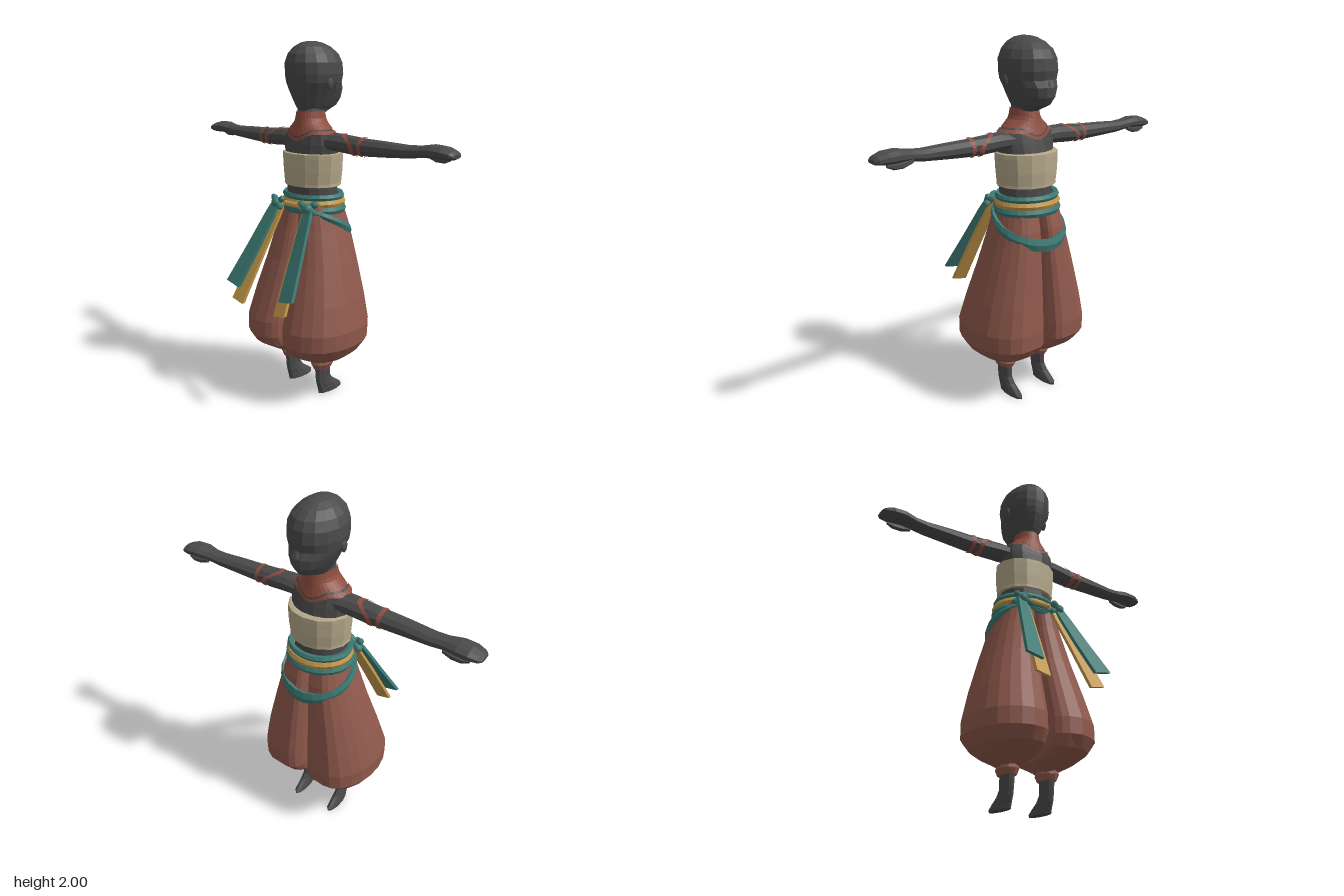
import * as THREE from 'three';

const mat = (name, color) => Object.assign(new THREE.MeshStandardMaterial({ color }), { name });

// Skin a list of rings of [x, y, z] points; faces are turned outward and shaded flat.
function loft(rings, caps = true) {
  const n = rings[0].length, pos = rings.flat(2), idx = [];
  for (let i = 0; i < rings.length - 1; i++) {
    for (let j = 0; j < n; j++) {
      const k = (j + 1) % n, a = i * n + j, b = i * n + k;
      idx.push(a, b, a + n, b, b + n, a + n);
    }
  }
  if (caps) {
    const last = (rings.length - 1) * n;
    for (let j = 1; j < n - 1; j++) idx.push(0, j + 1, j, last, last + j, last + j + 1);
  }
  const g = new THREE.BufferGeometry();
  g.setAttribute('position', new THREE.Float32BufferAttribute(pos, 3));
  g.computeBoundingBox();
  const mid = g.boundingBox.getCenter(new THREE.Vector3());
  const p = (i) => new THREE.Vector3().fromArray(pos, i * 3).sub(mid);
  let volume = 0;
  for (let i = 0; i < idx.length; i += 3) volume += p(idx[i]).dot(p(idx[i + 1]).cross(p(idx[i + 2])));
  if (volume < 0) idx.reverse();
  g.setIndex(idx);
  const flat = g.toNonIndexed();
  flat.computeVertexNormals();
  return flat;
}

// Linear lookup in a table sorted by its first column.
function sample(table, t) {
  const up = table[table.length - 1][0] > table[0][0];
  let i = 0;
  while (i < table.length - 2 && (up ? t > table[i + 1][0] : t < table[i + 1][0])) i++;
  const a = table[i], b = table[i + 1];
  const f = THREE.MathUtils.clamp((t - a[0]) / (b[0] - a[0]), 0, 1);
  return a.map((v, k) => (k ? v + (b[k] - v) * f : t));
}

const angles = (n) => Array.from({ length: n }, (_, i) => (i + 0.5) / n * Math.PI * 2);

// Point on a horizontal oval: [height, half width, z max, z min].
const oval = ([y, w, z1, z0], a, cx = 0, grow = 0) =>
  [cx + (w + grow) * Math.cos(a), y, (z1 + z0) / 2 + ((z1 - z0) / 2 + grow) * Math.sin(a)];
const ovalLoft = (rows, n, cx = 0) => loft(rows.map((r) => angles(n).map((a) => oval(r, a, cx))));

const TORSO = [
  [1.65, 0.064, 0, -0.15], [1.585, 0.074, 0.012, -0.165], [1.545, 0.12, 0.02, -0.175],
  [1.515, 0.165, 0.03, -0.185], [1.46, 0.172, 0.04, -0.2], [1.4, 0.165, 0.045, -0.215],
  [1.24, 0.15, 0.04, -0.215], [1.1, 0.155, 0.045, -0.22],
];
const HEAD = [
  [1.615, 0.062, 0, -0.145], [1.645, 0.066, 0.008, -0.22], [1.66, 0.077, 0.018, -0.255],
  [1.7, 0.098, 0.036, -0.282], [1.75, 0.122, 0.054, -0.284], [1.785, 0.138, 0.062, -0.266],
  [1.83, 0.145, 0.07, -0.275], [1.89, 0.142, 0.072, -0.268], [1.935, 0.122, 0.058, -0.245],
  [1.97, 0.088, 0.028, -0.2], [1.992, 0.05, -0.012, -0.15], [2, 0.02, -0.05, -0.11],
];
// Arm and hand: [x, y centre, z centre, half height, half depth]
const ARM = [
  [0.1, 1.475, -0.09, 0.045, 0.07], [0.2, 1.475, -0.092, 0.05, 0.063], [0.3, 1.469, -0.095, 0.05, 0.058],
  [0.4, 1.466, -0.095, 0.046, 0.054], [0.52, 1.468, -0.1, 0.041, 0.052], [0.66, 1.47, -0.108, 0.033, 0.05],
  [0.73, 1.478, -0.112, 0.03, 0.05], [0.8, 1.485, -0.115, 0.035, 0.066], [0.86, 1.482, -0.115, 0.033, 0.066],
  [0.905, 1.476, -0.115, 0.022, 0.052], [0.92, 1.472, -0.113, 0.01, 0.035],
];
const armPoint = (x, a, s, grow = 0) => {
  const [, y, z, ry, rz] = sample(ARM, x);
  return [s * x, y + (ry + grow) * Math.sin(a), z + (rz + grow) * Math.cos(a)];
};
// Trouser half: [y, outer x, z max, z min, inner x]
const LEG = [
  [1.13, 0.165, 0.05, -0.23, 0], [1, 0.203, 0.07, -0.263, 0], [0.8, 0.264, 0.115, -0.29, 0],
  [0.6, 0.322, 0.175, -0.315, 0], [0.45, 0.356, 0.22, -0.332, 0], [0.36, 0.355, 0.222, -0.33, 0],
  [0.3, 0.318, 0.18, -0.28, 0.004], [0.255, 0.262, 0.1, -0.215, 0.02], [0.215, 0.185, 0.02, -0.135, 0.07],
  [0.2, 0.165, 0, -0.12, 0.085],
];

// Flat band swept along points, its width running across the front.
function ribbon(points, w0, w1, thick) {
  return loft(points.map(([x, y, z], i) => {
    const w = THREE.MathUtils.lerp(w0, w1, i / (points.length - 1)) / 2, t = thick / 2;
    const tilt = Math.sign(x) * w * 0.2;
    return [[x - w, y - tilt, z - t], [x + w, y + tilt, z - t], [x + w, y + tilt, z + t], [x - w, y - tilt, z + t]];
  }));
}

// Oval hoop of cloth with a bevelled section; 'drop' lowers and widens it toward -z.
function hoop(y, h, rx, rz, cz, drop = 0) {
  const section = [[-0.015, -0.35], [0.008, -0.5], [0.017, 0], [0.008, 0.5], [-0.015, 0.35]];
  const rings = angles(24).map((a) => {
    const back = (1 - Math.sin(a)) / 2;
    return section.map(([r, v]) => [
      (rx + r) * Math.cos(a), y - drop * back + v * (drop ? h * (0.5 + back * 0.8) : h), cz + (rz + r) * Math.sin(a)]);
  });
  return loft([...rings, rings[0]], false);
}

export function createModel() {
  const model = new THREE.Group();
  model.name = 'figure';
  const skin = mat('charcoal skin', 0x4a4a4a), paint = mat('red body paint', 0x8e4d3f);
  const cloth = mat('russet cloth', 0x8f594c), linen = mat('beige linen', 0xb5a88a);
  const teal = mat('teal sash', 0x3c7a74), gold = mat('ochre sash', 0xc4984a);
  const add = (name, geometry, material, x = 0, y = 0, z = 0) => {
    const m = new THREE.Mesh(geometry, material);
    m.name = name;
    m.position.set(x, y, z);
    model.add(m);
    return m;
  };

  // Head and body
  add('head', ovalLoft(HEAD, 16), skin);
  add('nose', new THREE.ConeGeometry(0.018, 0.045, 4), skin, 0, 1.775, -0.272);
  add('torso', ovalLoft(TORSO, 16), skin);

  // Painted collar with a pointed hem and a chevron below it
  const hem = (a, low) => low + 0.045 * Math.min(1, Math.abs(Math.cos(a)) * 1.6);
  const collar = (low, high) => loft([0, 0.2, 0.4, 0.6, 0.8, 1].map((t) => angles(32).map((a) => {
    const y = THREE.MathUtils.lerp(hem(a, low), high ?? hem(a, low + 0.016), t);
    return oval(sample(TORSO, y), a, 0, 0.005);
  })), false);
  add('collarPaint', collar(1.496, 1.635), paint);
  add('collarChevron', collar(1.472), paint);

  // Bandeau top
  add('bandeau', ovalLoft([
    [1.412, 0.166, 0.048, -0.23], [1.408, 0.18, 0.06, -0.245], [1.385, 0.18, 0.06, -0.246],
    [1.31, 0.175, 0.058, -0.247], [1.245, 0.168, 0.054, -0.242], [1.23, 0.17, 0.054, -0.242], [1.228, 0.15, 0.04, -0.225],
  ], 14), linen);

  for (const s of [1, -1]) {
    const side = s > 0 ? 'left' : 'right';

    // Ear, arm, hand and thumb
    const ear = add(side + 'Ear', new THREE.IcosahedronGeometry(0.03, 1), skin, s * 0.137, 1.78, -0.085);
    ear.scale.set(0.35, 1.1, 0.7);
    add(side + 'Arm', loft(ARM.map(([x]) => angles(10).map((a) => armPoint(x, a, s)))), skin);
    add(side + 'Thumb', loft([[0.73, 1.458, 0.012], [0.78, 1.446, 0.018], [0.83, 1.443, 0.016], [0.865, 1.45, 0.008]]
      .map(([x, y, r]) => angles(6).map((a) => [s * x, y + r * Math.sin(a), -0.15 + r * Math.cos(a)]))), skin);

    // Arm paint: a plain band and one that sweeps inward over the top
    const band = (mid, half) => loft([-1, 0, 1].map((k) => angles(20).map((a) => armPoint(mid(a) + k * half, a, s, 0.004))), false);
    add(side + 'ArmBand', band(() => 0.38, 0.011), paint);
    add(side + 'ArmCurvedBand', band((a) => 0.33 - 0.085 * Math.max(0, Math.sin(a)) ** 1.5, 0.014), paint);

    // Ballooned trouser half with soft folds, meeting its twin in a centre crease
    add(side + 'Trouser', loft(LEG.map(([y, w, z1, z0, xi]) => angles(22).map((a) => {
      const c = Math.cos(a), d = Math.sin(a), mid = xi + (w - xi) * 0.42, p = c < 0 ? 0.6 : 0.95;
      const fold = 1 - 0.018 * (1 + Math.sin(a * 7)) * (y > 0.3 ? 1 : 0);
      const x = c < 0 ? mid - (mid - xi) * (-c) ** p : mid + (w - mid) * c ** p;
      return [s * x, y, (z1 + z0) / 2 + (z1 - z0) / 2 * Math.sign(d) * Math.abs(d) ** p * fold];
    }))), cloth);
    add(side + 'Cuff', ovalLoft([[0.225, 0.048, 0.015, -0.125], [0.195, 0.056, 0.022, -0.135], [0.165, 0.042, 0.01, -0.122]], 10, s * 0.125), cloth);

    // Shin and foot, toes toward -z
    add(side + 'Foot', ovalLoft([
      [0.2, 0.032, 0, -0.11], [0.1, 0.026, -0.005, -0.115], [0.065, 0.028, -0.01, -0.14],
      [0.03, 0.03, -0.02, -0.19], [0.012, 0.031, -0.024, -0.212], [0, 0.03, -0.026, -0.212],
    ], 10, s * 0.125), skin);

    // Sash knot and hanging tails
    for (const t of [-1, 1]) {
      const strap = add(side + 'KnotStrap', new THREE.CapsuleGeometry(0.019, 0.085, 2, 6), teal, s * 0.12, 1.128, 0.062 + t * 0.008);
      strap.rotation.z = t * 1.05;
      strap.rotation.y = s * 0.3;
    }
    add(side + 'Knot', new THREE.IcosahedronGeometry(0.03, 1), teal, s * 0.125, 1.125, 0.07);
    add(side + 'TealTail', ribbon([
      [s * 0.128, 1.13, 0.06], [s * 0.14, 1.06, 0.1], [s * 0.175, 0.88, 0.2], [s * 0.217, 0.68, 0.315]], 0.05, 0.1, 0.022), teal);
    add(side + 'OchreTail', ribbon([
      [s * 0.105, 1.12, 0.05], [s * 0.115, 1.05, 0.085], [s * 0.14, 0.85, 0.19], [s * 0.172, 0.59, 0.32]], 0.05, 0.085, 0.02), gold);
  }

  // Sash wraps, front tie and draped loop
  add('upperWrap', hoop(1.172, 0.035, 0.168, 0.145, -0.1), teal);
  add('ochreWrap', hoop(1.138, 0.04, 0.172, 0.15, -0.103), gold);
  add('lowerWrap', hoop(1.1, 0.04, 0.176, 0.152, -0.104), teal);
  add('drapedLoop', hoop(1.115, 0.055, 0.203, 0.172, -0.118, 0.185), teal);
  const tie = add('ochreTie', new THREE.CapsuleGeometry(0.016, 0.11, 2, 6), gold, 0, 1.13, 0.064);
  tie.rotation.z = Math.PI / 2;

  return model;
}
